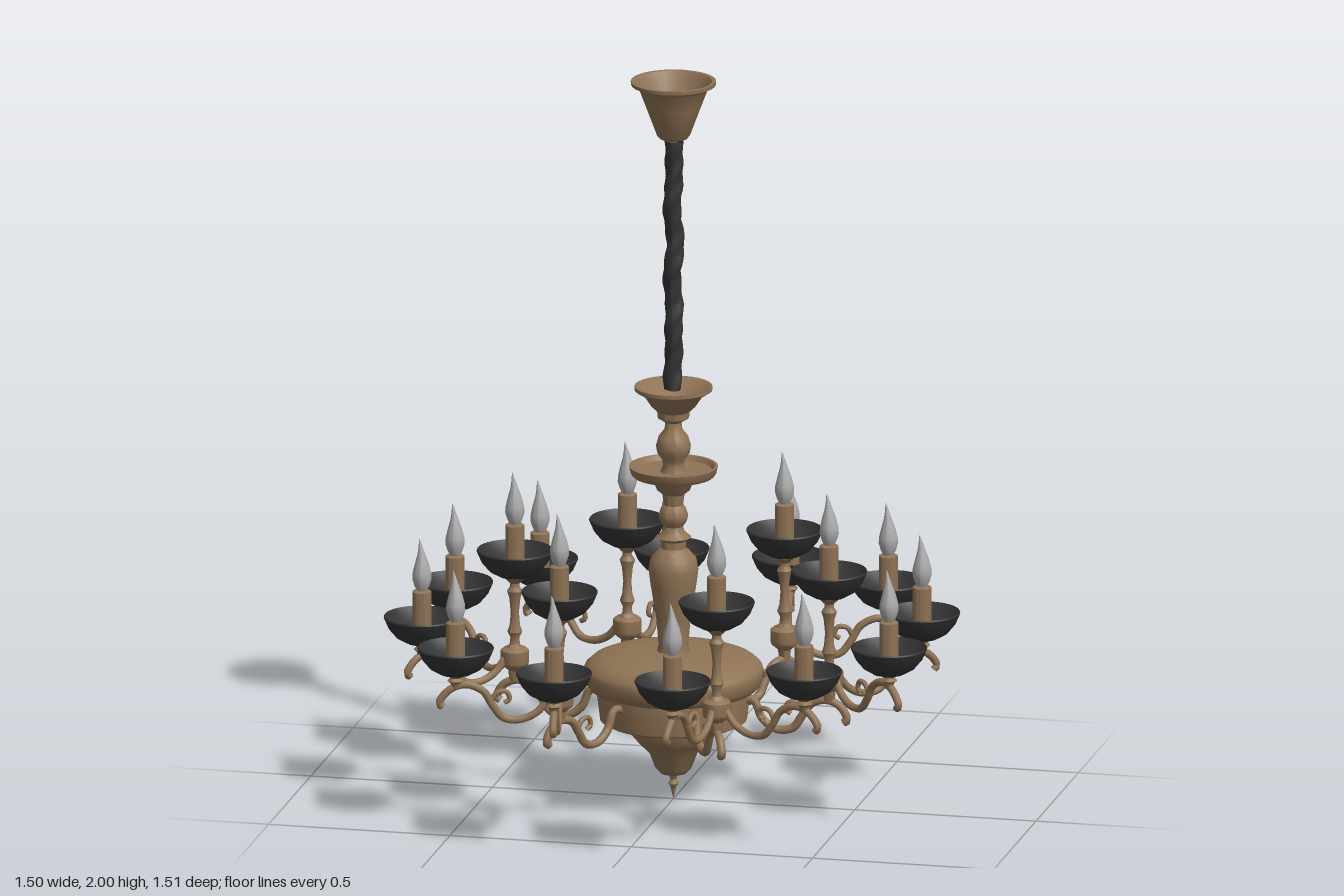
import * as THREE from 'three';
import { toCreasedNormals } from 'three/addons/utils/BufferGeometryUtils.js';

const mat = (name, color) => {
  const m = new THREE.MeshStandardMaterial({ color, side: THREE.DoubleSide });
  m.name = name;
  return m;
};

// Turned part: profile of [radius, y] from bottom to top
const turned = (profile, segments = 28) => toCreasedNormals(
  new THREE.LatheGeometry(profile.map(([r, y]) => new THREE.Vector2(r, y)), segments), 0.7);

// Curved rod in the x-y plane
const rod = (points, radius, steps = 28) => new THREE.TubeGeometry(
  new THREE.CatmullRomCurve3(points.map(([x, y]) => new THREE.Vector3(x, y, 0))), steps, radius, 8);

export function createModel() {
  const bronze = mat('bronze', 0x8f7355);
  const black = mat('matte black', 0x333333);
  const glass = mat('bulb glass', 0xaaaaaa);

  const model = new THREE.Group();
  model.name = 'chandelier';
  const add = (parent, name, geometry, material, x = 0, y = 0, z = 0) => {
    const mesh = new THREE.Mesh(geometry, material);
    mesh.name = name;
    mesh.position.set(x, y, z);
    parent.add(mesh);
    return mesh;
  };

  // Ceiling canopy: hollow cup
  add(model, 'canopy', turned([
    [0, 1.825], [0.012, 1.83], [0.014, 1.838], [0.036, 1.84], [0.045, 1.85], [0.075, 1.93], [0.092, 1.975],
    [0.1, 1.985], [0.114, 1.99], [0.115, 2], [0.104, 2], [0.09, 1.98], [0.04, 1.86], [0, 1.85]]), bronze);

  // Gathered fabric sleeve over the chain
  const sleeve = new THREE.CylinderGeometry(0.024, 0.024, 0.69, 14, 56, true);
  const p = sleeve.attributes.position;
  for (let i = 0; i < p.count; i++) {
    const x = p.getX(i), y = p.getY(i), z = p.getZ(i), a = Math.atan2(z, x);
    const k = 1 + 0.1 * Math.sin(3 * a + y * 40) + 0.08 * Math.sin(y * 95 + 2 * a);
    p.setXYZ(i, x * k + 0.003 * Math.sin(y * 27), y, z * k + 0.003 * Math.cos(y * 33));
  }
  sleeve.computeVertexNormals();
  add(model, 'chainSleeve', sleeve, black, 0, 1.487, 0);

  // Central column with vase, knops, drip plate and top cup
  add(model, 'column', turned([
    [0.05, 0.39], [0.045, 0.41], [0.04, 0.43], [0.046, 0.5], [0.062, 0.6], [0.067, 0.64], [0.062, 0.67],
    [0.045, 0.69], [0.034, 0.7], [0.034, 0.72], [0.048, 0.73], [0.03, 0.745], [0.026, 0.76], [0.036, 0.775],
    [0.04, 0.79], [0.034, 0.81], [0.026, 0.82], [0.03, 0.85], [0.045, 0.862], [0.052, 0.88], [0.065, 0.892],
    [0.108, 0.9], [0.115, 0.908], [0.12, 0.928], [0.112, 0.928], [0.104, 0.915], [0.035, 0.912], [0.028, 0.93],
    [0.03, 0.945], [0.044, 0.965], [0.047, 0.985], [0.04, 1.01], [0.024, 1.03], [0.022, 1.05], [0.042, 1.062],
    [0.044, 1.08], [0.06, 1.095], [0.08, 1.125], [0.105, 1.14], [0.105, 1.15], [0.095, 1.148], [0.06, 1.115],
    [0.02, 1.1], [0, 1.1]]), bronze);

  // Main bowl and pointed finial
  add(model, 'bowl', turned([
    [0, 0], [0.005, 0.02], [0.008, 0.035], [0.014, 0.043], [0.008, 0.055], [0.012, 0.066], [0.035, 0.073],
    [0.05, 0.09], [0.065, 0.13], [0.095, 0.16], [0.112, 0.18], [0.118, 0.205], [0.13, 0.21], [0.185, 0.218],
    [0.198, 0.225], [0.205, 0.28], [0.205, 0.305], [0.225, 0.312], [0.238, 0.33], [0.242, 0.36],
    [0.238, 0.372], [0.22, 0.388], [0.19, 0.4], [0.12, 0.41], [0.04, 0.413]], 36), bronze);

  // Shared candle shapes, measured from the bottom of the dish
  const dish = turned([
    [0.02, 0], [0.042, 0.002], [0.07, 0.018], [0.09, 0.042], [0.103, 0.072], [0.101, 0.076],
    [0.095, 0.068], [0.07, 0.04], [0.02, 0.026]], 30);
  const candle = turned([[0.026, 0.01], [0.026, 0.143], [0.02, 0.147], [0, 0.147]], 16);
  const bulb = new THREE.LatheGeometry([
    [0.013, 0.145], [0.02, 0.158], [0.026, 0.178], [0.025, 0.195], [0.019, 0.22], [0.011, 0.245],
    [0.006, 0.265], [0.003, 0.28], [0, 0.29]].map(([r, y]) => new THREE.Vector2(r, y)), 14);
  const bp = bulb.attributes.position; // bend the flame tip sideways
  for (let i = 0; i < bp.count; i++) {
    bp.setX(i, bp.getX(i) - 1.1 * Math.max(0, bp.getY(i) - 0.21) ** 2);
  }
  bulb.computeVertexNormals();

  const addCandle = (parent, x, y, turn) => {
    const g = new THREE.Group();
    g.name = 'candleLight';
    g.position.set(x, y, 0);
    g.rotation.y = turn;
    add(g, 'dripDish', dish, black);
    add(g, 'candleTube', candle, bronze);
    add(g, 'flameBulb', bulb, glass);
    parent.add(g);
  };

  // Scrolled arm shapes, with x running outwards
  const mainArm = rod([[0.19, 0.285], [0.225, 0.29], [0.25, 0.24], [0.29, 0.213], [0.335, 0.22], [0.36, 0.255],
    [0.385, 0.29], [0.425, 0.303], [0.465, 0.288], [0.485, 0.25], [0.475, 0.243]], 0.0115, 40);
  const branchArm = rod([[0.03, 0.365], [0.06, 0.33], [0.105, 0.31], [0.15, 0.315], [0.18, 0.35], [0.205, 0.39],
    [0.25, 0.41], [0.295, 0.398], [0.325, 0.36], [0.315, 0.35]], 0.0105, 40);
  const curl = rod([[0, 0], [-0.015, 0.025], [-0.042, 0.028], [-0.05, 0.006], [-0.036, -0.003]], 0.007, 16);
  const hub = turned([
    [0, 0.298], [0.014, 0.3], [0.018, 0.33], [0.036, 0.345], [0.038, 0.352], [0.038, 0.385], [0.03, 0.392], [0, 0.394]], 18);
  const stem = turned([
    [0.026, 0.39], [0.014, 0.402], [0.012, 0.42], [0.02, 0.437], [0.014, 0.455], [0.011, 0.49], [0.015, 0.53],
    [0.021, 0.55], [0.013, 0.562], [0.013, 0.572], [0.03, 0.588], [0.03, 0.595]], 14);
  const socket = turned([[0.011, 0.4], [0.014, 0.415], [0.022, 0.422], [0.014, 0.43], [0.032, 0.442], [0.032, 0.448]], 14);

  // Six arms, each with a raised candle and two branches
  for (let i = 0; i < 6; i++) {
    const angle = i * Math.PI / 3 - 0.015;
    const arm = new THREE.Group();
    arm.name = 'arm';
    arm.position.x = -0.004;
    arm.rotation.y = angle;
    add(arm, 'mainScroll', mainArm, bronze);
    add(arm, 'scrollCurl', curl, bronze, 0.365, 0.262);
    add(arm, 'hub', hub, bronze, 0.435);
    add(arm, 'stem', stem, bronze, 0.435);
    addCandle(arm, 0.435, 0.59, -angle);
    for (const side of [-1, 1]) {
      const branch = new THREE.Group();
      branch.name = 'branch';
      branch.position.x = 0.435;
      branch.rotation.y = side * 0.715;
      add(branch, 'branchScroll', branchArm, bronze);
      add(branch, 'branchCurl', curl, bronze, 0.185, 0.36);
      add(branch, 'socket', socket, bronze, 0.28);
      addCandle(branch, 0.28, 0.44, -angle - side * 0.715);
      arm.add(branch);
    }
    model.add(arm);
  }
  return model;
}
